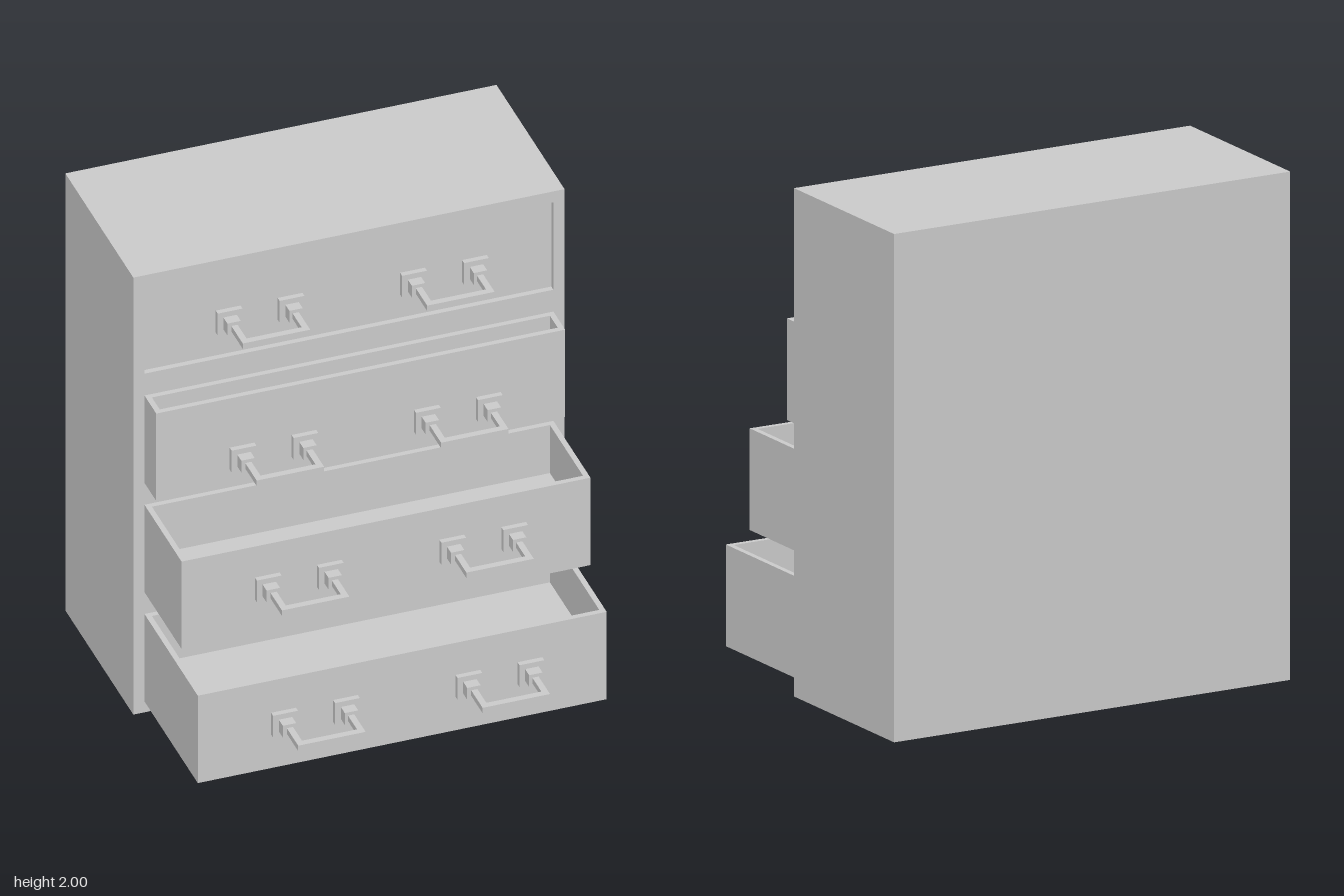
import * as THREE from 'three';

const material = new THREE.MeshStandardMaterial({ color: 0xcccccc });

const HALF_W = 0.87, HEIGHT = 2, BACK = -0.765, FACE = -0.015;
const RECESS = -0.038;               // depth of the closed top drawer's face
const DRAWER_HALF = 0.825, DRAWER_H = 0.4, WALL = 0.022;

function addMesh(parent, name, geometry, x = 0, y = 0, z = 0) {
  const mesh = new THREE.Mesh(geometry, material);
  mesh.name = name;
  mesh.position.set(x, y, z);
  parent.add(mesh);
  return mesh;
}

// Box given by its centre in x and y, and its range in z
function addBox(parent, name, w, h, z0, z1, x, y) {
  return addMesh(parent, name, new THREE.BoxGeometry(w, h, z1 - z0), x, y, (z0 + z1) / 2);
}

function rectangle(Type, x0, y0, x1, y1) {
  return new Type([[x0, y0], [x1, y0], [x1, y1], [x0, y1]].map(p => new THREE.Vector2(...p)));
}

// Bail pull: two square plates with blocks, two legs and a crossbar
function makeHandle() {
  const handle = new THREE.Group();
  handle.name = 'handle';
  for (const side of [-1, 1]) {
    addBox(handle, 'plate', 0.1, 0.1, 0, 0.022, side * 0.125, 0);
    addBox(handle, 'block', 0.054, 0.054, 0.022, 0.066, side * 0.125, 0);
    addBox(handle, 'leg', 0.025, 0.025, 0.066, 0.168, side * 0.1235, 0);
  }
  addBox(handle, 'crossbar', 0.272, 0.025, 0.165, 0.192, 0, 0);
  return handle;
}

// Open-topped drawer reaching out of the cabinet face to z = front
function makeDrawer(bottom, front) {
  const drawer = new THREE.Group();
  drawer.name = 'drawer';
  // Walls are extruded upwards, so shape y becomes -z
  const outline = rectangle(THREE.Shape, -DRAWER_HALF, -front, DRAWER_HALF, -FACE);
  const inner = DRAWER_HALF - WALL;
  outline.holes.push(rectangle(THREE.Path, -inner, -front + WALL, inner, -FACE - WALL));
  const walls = new THREE.ExtrudeGeometry(outline, { depth: DRAWER_H, bevelEnabled: false });
  walls.rotateX(-Math.PI / 2);
  addMesh(drawer, 'drawerWalls', walls, 0, bottom, 0);
  // Raised floor inside the walls
  addBox(drawer, 'drawerFloor', inner * 2, 0.18, FACE + WALL, front - WALL, 0, bottom + 0.09);
  return drawer;
}

export function createModel() {
  const model = new THREE.Group();
  model.name = 'chestOfDrawers';

  // Cabinet: solid body with a front frame around the closed top drawer
  addBox(model, 'cabinetBody', HALF_W * 2, HEIGHT, BACK, RECESS, 0, HEIGHT / 2);
  const frame = rectangle(THREE.Shape, -HALF_W, 0, HALF_W, HEIGHT);
  frame.holes.push(rectangle(THREE.Path, -DRAWER_HALF, 1.55, DRAWER_HALF, 1.95));
  addMesh(model, 'cabinetFrame',
    new THREE.ExtrudeGeometry(frame, { depth: FACE - RECESS, bevelEnabled: false }), 0, 0, RECESS);

  // Drawers from the bottom up, each pulled out less than the one below
  const rows = [
    { bottom: 0.05, front: 0.573, handleY: 0.253 },
    { bottom: 0.55, front: 0.394, handleY: 0.758 },
    { bottom: 1.05, front: 0.115, handleY: 1.175 },
    { bottom: 1.55, front: RECESS, handleY: 1.705 },
  ];
  for (const { bottom, front, handleY } of rows) {
    if (front > FACE) model.add(makeDrawer(bottom, front));
    for (const x of [-0.354, 0.39]) {
      const handle = makeHandle();
      handle.position.set(x, handleY, front);
      model.add(handle);
    }
  }
  return model;
}
